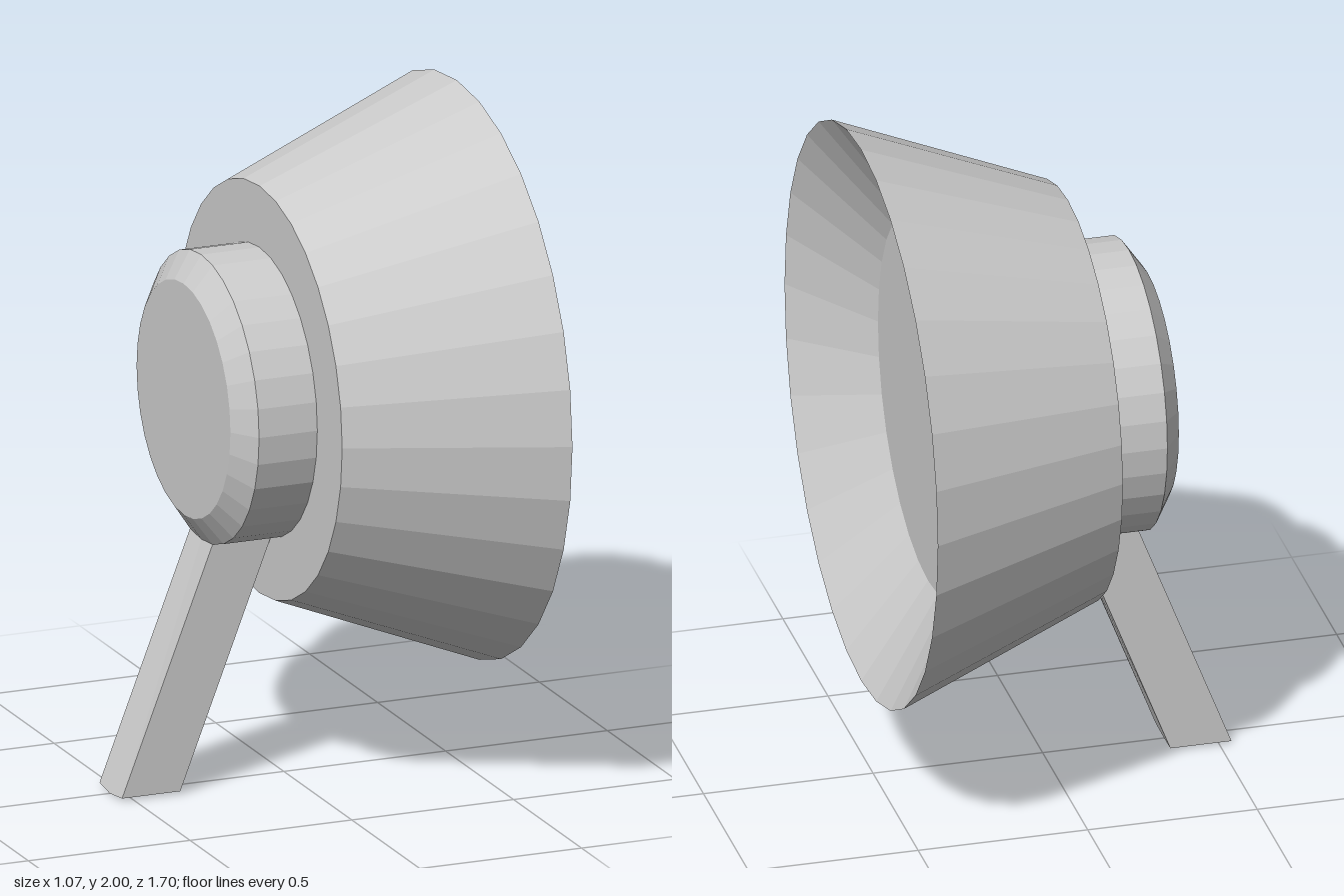
import * as THREE from 'three';

const SIDES = 32;
const AXIS_Y = 1.15; // height of the horizontal axis
const HUB_R = 0.425;

const material = new THREE.MeshStandardMaterial({ color: 0xcccccc, flatShading: true });

// Turned part about the x axis; the profile is a list of [radius, x]
function turned(name, profile) {
  const points = profile.map(([r, x]) => new THREE.Vector2(r, x));
  const geometry = new THREE.LatheGeometry(points, SIDES);
  geometry.rotateZ(-Math.PI / 2).translate(0, AXIS_Y, 0);
  const mesh = new THREE.Mesh(geometry, material);
  mesh.name = name;
  return mesh;
}

// Slanted handle drawn out of the two lowest facets of the hub
function makeHandle() {
  const step = (2 * Math.PI) / SIDES;
  const half = HUB_R * Math.sin(step);
  const rise = HUB_R * (1 - Math.cos(step));
  const top = AXIS_Y - HUB_R;
  const shape = new THREE.Shape([
    [-half, rise], [0, 0], [half, rise],
    [half, top + rise], [0, top], [-half, top + rise],
  ].map(([z, y]) => new THREE.Vector2(z, y)));
  const geometry = new THREE.ExtrudeGeometry(shape, { depth: 0.18, bevelEnabled: false });
  geometry.rotateY(Math.PI / 2).translate(-0.255, 0, 0);

  // Shear so the foot sits further back than the root
  const p = geometry.attributes.position;
  for (let i = 0; i < p.count; i++) {
    const drop = Math.max(0, 1 - p.getY(i) / top);
    p.setX(i, p.getX(i) - 0.283 * drop);
  }
  geometry.computeVertexNormals();
  const mesh = new THREE.Mesh(geometry, material);
  mesh.name = 'handle';
  return mesh;
}

export function createModel() {
  const model = new THREE.Group();
  model.name = 'flaredCupWithHandle';

  // Flared cup: back ring, outer wall, sharp rim, inner wall, floor
  model.add(turned('flaredCup', [
    [HUB_R, -0.075], [0.608, -0.075], [0.85, 0.535], [0.555, 0.338], [0, 0.338],
  ]));

  // Chamfered hub at the back
  model.add(turned('hub', [
    [0, -0.31], [0.345, -0.31], [HUB_R, -0.255], [HUB_R, -0.075],
  ]));

  model.add(makeHandle());
  return model;
}
